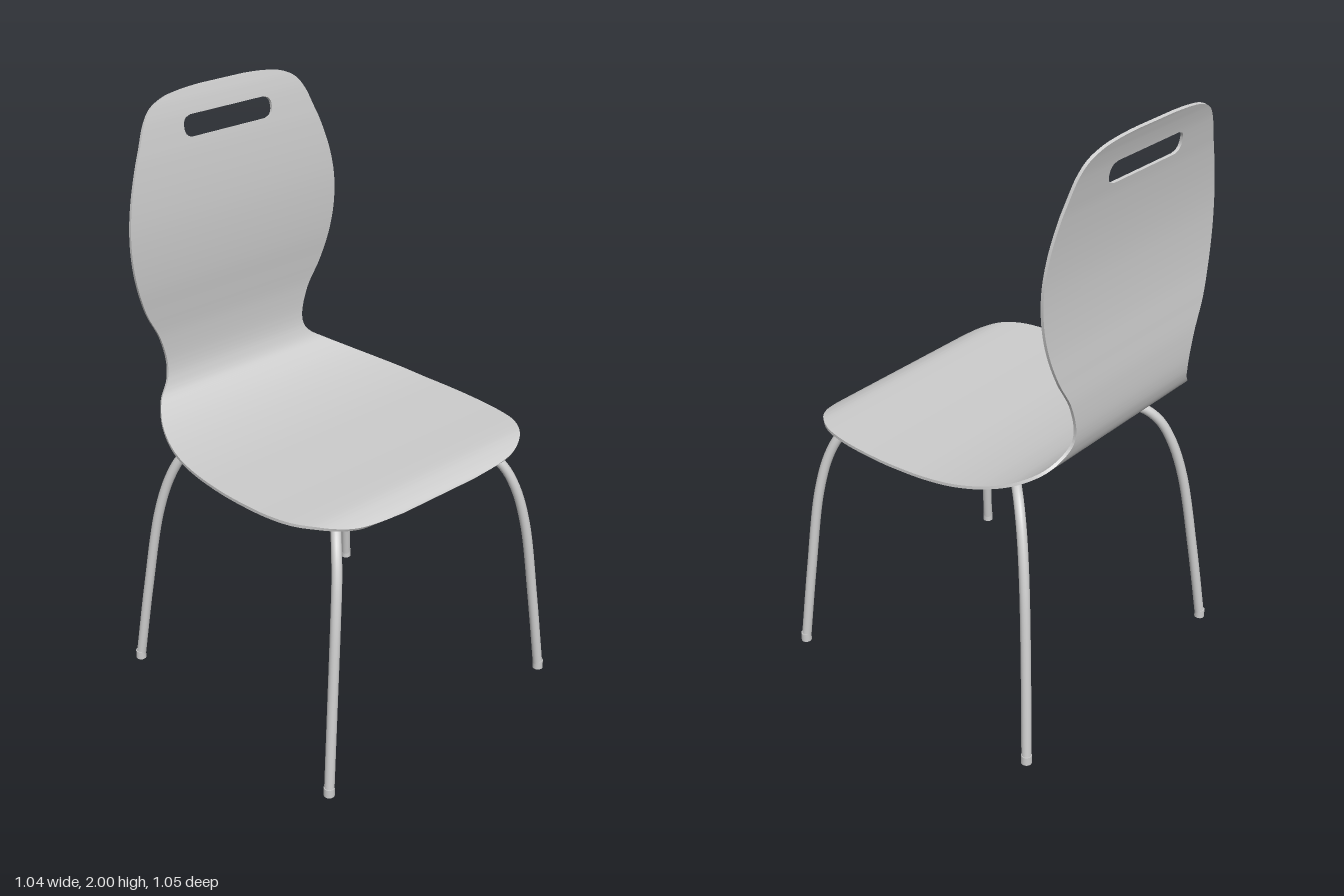
import * as THREE from 'three';
import { toCreasedNormals, mergeGeometries } from 'three/addons/utils/BufferGeometryUtils.js';

const STEPS = 10;         // rows between two outline points
const HALF_THICK = 0.005;
const HOLE_LOW = 1.845, HOLE_HIGH = 1.915;

// Edge of the bent shell, from front lip to top: half width, height, depth
const edgePoints = [
  [0.16, 0.880, 0.474], [0.33, 0.890, 0.463], [0.40, 0.902, 0.438], [0.45, 0.912, 0.40],
  [0.49, 0.914, 0.34], [0.512, 0.912, 0.25], [0.522, 0.910, 0.1], [0.52, 0.910, 0],
  [0.512, 0.912, -0.1], [0.497, 0.920, -0.2], [0.465, 0.936, -0.3], [0.42, 0.962, -0.385],
  [0.365, 1.0, -0.445], [0.308, 1.05, -0.471], [0.296, 1.10, -0.48], [0.32, 1.2, -0.48],
  [0.373, 1.3, -0.471], [0.408, 1.4, -0.461], [0.426, 1.5, -0.456], [0.427, 1.6, -0.456],
  [0.41, 1.7, -0.462], [0.378, 1.8, -0.473], [0.359, HOLE_LOW, -0.48], [0.328, HOLE_HIGH, -0.493],
  [0.295, 1.955, -0.503], [0.24, 1.981, -0.511], [0.17, 1.993, -0.515], [0.09, 1.998, -0.517],
];

function sampleRows() {
  const curve = new THREE.CatmullRomCurve3(edgePoints.map(p => new THREE.Vector3(...p)));
  const rows = curve.getPoints((edgePoints.length - 1) * STEPS);
  return rows.map((p, i) => {
    const a = rows[Math.max(i - 1, 0)], b = rows[Math.min(i + 1, rows.length - 1)];
    const len = Math.hypot(b.y - a.y, b.z - a.z);
    return {
      half: p.x, y: p.y, z: p.z,
      ny: -(b.z - a.z) / len, nz: (b.y - a.y) / len,
      mid: -0.025 * THREE.MathUtils.smoothstep(p.y, 0.92, 1.08),
    };
  });
}

// Half width of the handle hole, with rounded corners
function holeHalf(y) {
  const r = 0.03, straight = (HOLE_HIGH - HOLE_LOW) / 2 - r;
  const d = Math.max(Math.abs(y - (HOLE_LOW + HOLE_HIGH) / 2) - straight, 0) / r;
  return 0.15 + r * Math.sqrt(Math.max(1 - d * d, 0));
}

// Closed sheet through the rows, between left(row) and right(row)
function panel(rows, left, right) {
  const positions = [], index = [];
  for (const r of rows) {
    for (const [x, s] of [[left(r), 1], [right(r), 1], [right(r), -1], [left(r), -1]]) {
      const o = s * HALF_THICK;
      positions.push(r.mid + x, r.y + r.ny * o, r.z + r.nz * o);
    }
  }
  for (let i = 0; i < rows.length - 1; i++) {
    for (let k = 0; k < 4; k++) {
      const a = i * 4 + k, b = i * 4 + (k + 1) % 4;
      index.push(a, b, b + 4, a, b + 4, a + 4);
    }
  }
  const e = (rows.length - 1) * 4;
  index.push(0, 2, 1, 0, 3, 2, e, e + 1, e + 2, e, e + 2, e + 3);
  const geometry = new THREE.BufferGeometry();
  geometry.setAttribute('position', new THREE.Float32BufferAttribute(positions, 3));
  geometry.setIndex(index);
  return toCreasedNormals(geometry, 0.7);
}

function createShell() {
  const rows = sampleRows();
  const low = edgePoints.findIndex(p => p[1] === HOLE_LOW) * STEPS;
  const high = low + STEPS;
  const outerLeft = r => -r.half, outerRight = r => r.half;
  const beside = rows.slice(low, high + 1);
  return mergeGeometries([
    panel(rows.slice(0, low + 1), outerLeft, outerRight),
    panel(beside, outerLeft, r => -holeHalf(r.y)),
    panel(beside, r => holeHalf(r.y), outerRight),
    panel(rows.slice(high), outerLeft, outerRight),
  ]);
}

// Half of a leg hoop from foot to middle: x, y, z
const frontLeg = [
  [0.497, 0.01, 0.507], [0.466, 0.3, 0.488], [0.43, 0.6, 0.464], [0.40, 0.74, 0.437],
  [0.37, 0.82, 0.402], [0.33, 0.868, 0.355], [0.27, 0.887, 0.285], [0.12, 0.888, 0.13],
];
const backLeg = [
  [0.497, 0.01, -0.487], [0.466, 0.3, -0.458], [0.43, 0.6, -0.421], [0.40, 0.74, -0.388],
  [0.37, 0.82, -0.354], [0.33, 0.868, -0.31], [0.27, 0.887, -0.245], [0.12, 0.888, -0.1],
];

export function createModel() {
  const model = new THREE.Group();
  model.name = 'chair';
  const material = new THREE.MeshStandardMaterial({ color: 0xcccccc });
  const add = (name, geometry) => {
    const mesh = new THREE.Mesh(geometry, material);
    mesh.name = name;
    model.add(mesh);
    return mesh;
  };

  // Seat and back in one bent sheet
  add('seatAndBack', createShell());

  // Two hoops crossing under the seat, each with a front and a back foot
  for (const side of [1, -1]) {
    const label = side > 0 ? 'Left' : 'Right';
    const front = frontLeg.map(([x, y, z]) => new THREE.Vector3(side * x, y, z));
    const back = backLeg.map(([x, y, z]) => new THREE.Vector3(-side * x, y, z));
    const path = new THREE.CatmullRomCurve3([...front, ...back.reverse()]);
    add('legHoopFront' + label, new THREE.TubeGeometry(path, 120, 0.0165, 16));
    for (const [x, , z] of [frontLeg[0], backLeg[0]]) {
      const foot = add((z > 0 ? 'frontFoot' : 'backFoot') + label,
        new THREE.CylinderGeometry(0.0175, 0.018, 0.03, 16));
      foot.position.set(side * x, 0.015, z);
    }
  }
  return model;
}
